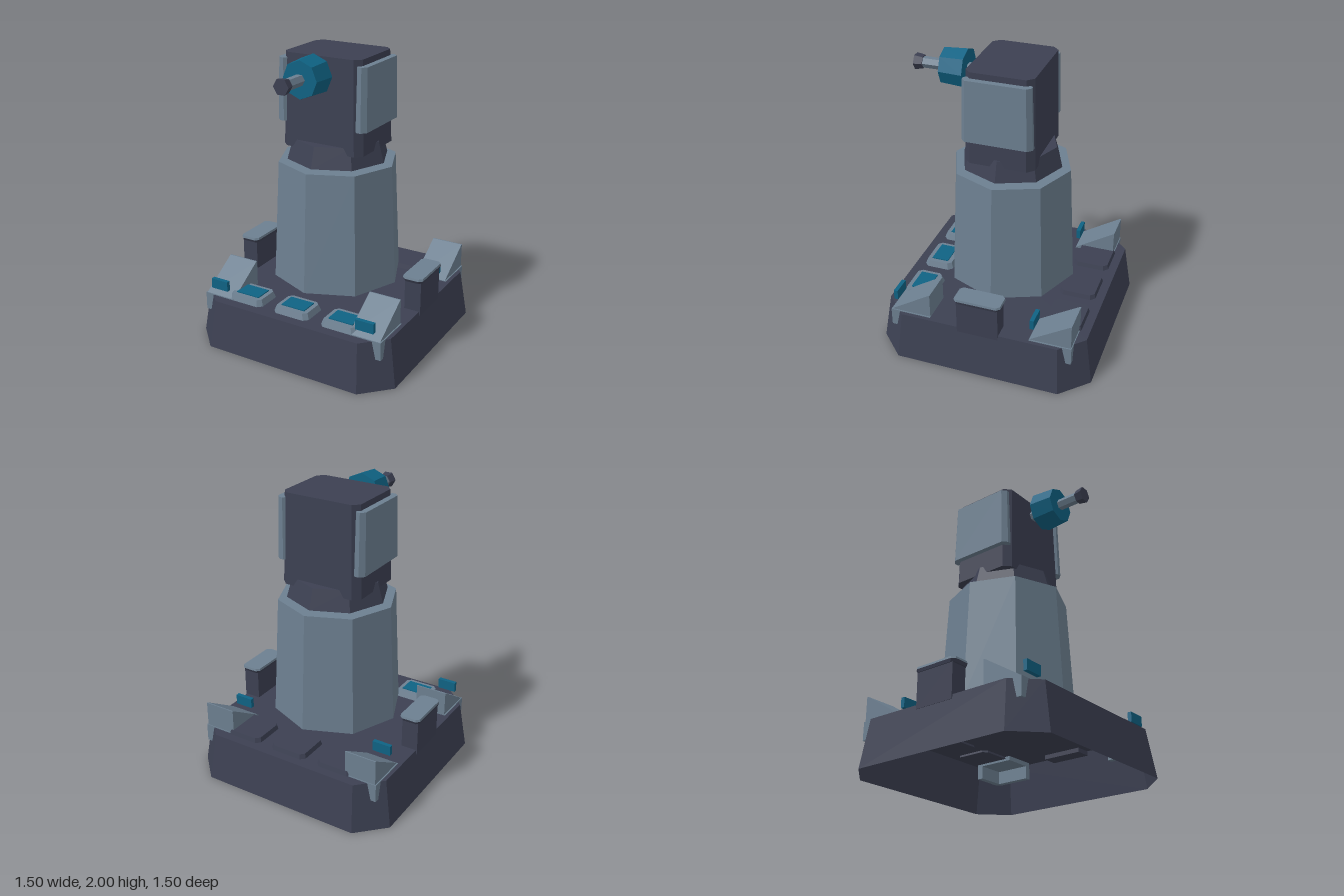
import * as THREE from 'three';

const dark = new THREE.MeshStandardMaterial({ color: 0x3c4052, side: THREE.DoubleSide });
dark.name = 'dark slate';
const light = new THREE.MeshStandardMaterial({ color: 0x6c7f90 });
light.name = 'steel grey';
const teal = new THREE.MeshStandardMaterial({ color: 0x0f6384 });
teal.name = 'teal';

// Rectangle with cut corners, as [x, z] points
function cutRect(hx, hz, c) {
  return [
    [hx, -hz + c], [hx, hz - c], [hx - c, hz], [-hx + c, hz],
    [-hx, hz - c], [-hx, -hz + c], [-hx + c, -hz], [hx - c, -hz],
  ];
}

// Flat-faced block between a lower and an upper cut-corner rectangle
function block(lower, upper, y0, y1, openBottom = false) {
  const b = cutRect(...lower).map(([x, z]) => [x, y0, z]);
  const t = cutRect(...upper).map(([x, z]) => [x, y1, z]);
  const pos = [];
  for (let i = 0; i < 8; i++) {
    const j = (i + 1) % 8;
    pos.push(...b[i], ...t[i], ...b[j], ...b[j], ...t[i], ...t[j]);
    pos.push(0, y1, 0, ...t[j], ...t[i]);
    if (!openBottom) pos.push(0, y0, 0, ...b[i], ...b[j]);
  }
  const g = new THREE.BufferGeometry();
  g.setAttribute('position', new THREE.Float32BufferAttribute(pos, 3));
  g.computeVertexNormals();
  return g;
}

// Flat-faced drum with few sides
function drum(rTop, rBottom, height, sides) {
  const g = new THREE.CylinderGeometry(rTop, rBottom, height, sides).toNonIndexed();
  g.computeVertexNormals();
  return g;
}

// Box given by its limits
function span(x0, x1, y0, y1, z0, z1) {
  const g = new THREE.BoxGeometry(Math.abs(x1 - x0), y1 - y0, Math.abs(z1 - z0));
  return g.translate((x0 + x1) / 2, (y0 + y1) / 2, (z0 + z1) / 2);
}

export function createModel() {
  const model = new THREE.Group();
  model.name = 'turret';
  const add = (name, geometry, material, x = 0, y = 0, z = 0) => {
    const mesh = new THREE.Mesh(geometry, material);
    mesh.name = name;
    mesh.position.set(x, y, z);
    model.add(mesh);
    return mesh;
  };

  // Hollow base, tower and neck
  add('base', block([0.75, 0.75, 0.18], [0.7, 0.7, 0.155], 0, 0.33, true), dark);
  add('tower', drum(0.405, 0.447, 0.825, 8), light, 0, 0.8325, 0);
  add('neck', drum(0.305, 0.345, 0.14, 8), dark, 0, 1.33, 0);

  // Head with a side plate on each cheek
  add('head', block([0.298, 0.237, 0.046], [0.28, 0.224, 0.042], 1.35, 1.97), dark, 0, 0, -0.003);
  for (const s of [1, -1]) {
    add(s > 0 ? 'leftCheekPlate' : 'rightCheekPlate',
      block([0.044, 0.237, 0.03], [0.038, 0.224, 0.028], 1.515, 1.93), light, s * 0.285, 0, 0);
  }

  // Barrel pointing forward
  const barrel = (name, rFront, rBack, z0, z1, sides, material, turn) => {
    const g = drum(rFront, rBack, z1 - z0, sides).rotateY(turn).rotateX(Math.PI / 2);
    add(name, g, material, 0, 1.868, (z0 + z1) / 2);
  };
  barrel('barrelTube', 0.038, 0.038, 0.2, 0.63, 6, light, Math.PI / 6);
  barrel('barrelCollar', 0.122, 0.133, 0.297, 0.46, 8, teal, 0);
  barrel('muzzle', 0.055, 0.046, 0.607, 0.664, 6, dark, Math.PI / 6);

  // Front consoles with screens, and plain rear hatches
  for (const x of [-0.36, 0, 0.36]) {
    add('console', block([0.137, 0.11, 0.03], [0.118, 0.092, 0.025], 0.32, 0.372), light, x, 0, 0.525);
    add('consoleScreen', span(-0.088, 0.088, 0.37, 0.379, -0.06, 0.06), teal, x, 0, 0.525);
    add('rearHatch', block([0.139, 0.132, 0.03], [0.126, 0.12, 0.027], 0.315, 0.362), dark, x, 0, -0.513);
  }

  for (const s of [1, -1]) {
    // Side boxes with a pale lid
    add('sideBox', span(-0.058, 0.058, 0.3, 0.55, -0.143, 0.143), dark, s * 0.65, 0, 0);
    add('sideBoxRim', block([0.067, 0.152, 0.02], [0.073, 0.162, 0.022], 0.535, 0.555), dark, s * 0.647, 0, 0);
    add('sideBoxLid', block([0.073, 0.162, 0.022], [0.07, 0.158, 0.022], 0.555, 0.57), light, s * 0.647, 0, 0);

    // Corner brackets: sloped wedge, corner walls through the base, lamp
    for (const [zBack, zFront, outer, inner] of [[0.35, 0.628, 0.633, 0.593], [-0.628, -0.345, -0.633, -0.593]]) {
      const profile = new THREE.Shape([
        new THREE.Vector2(zBack, 0.3), new THREE.Vector2(zFront, 0.3),
        new THREE.Vector2(zFront, 0.335), new THREE.Vector2(zBack + 0.008, 0.507),
        new THREE.Vector2(zBack, 0.507),
      ]);
      const wedge = new THREE.ExtrudeGeometry(profile, { depth: 0.222, bevelEnabled: false });
      wedge.translate(0, 0, -0.111).rotateY(-Math.PI / 2);
      add('bracketWedge', wedge, light, s * 0.556, 0, 0);
      add('bracketSideWall', span(s * 0.635, s * 0.675, 0.21, 0.335, zBack, zFront), light);
      add('bracketEndWall', span(s * 0.445, s * 0.675, 0.21, 0.335, inner, outer), light);
      const zLamp = zFront > 0 ? 0.605 : -0.362;
      add('bracketLamp', span(s * 0.493, s * 0.622, 0.383, 0.452, zLamp, zLamp + 0.028), teal);
    }
  }
  return model;
}
